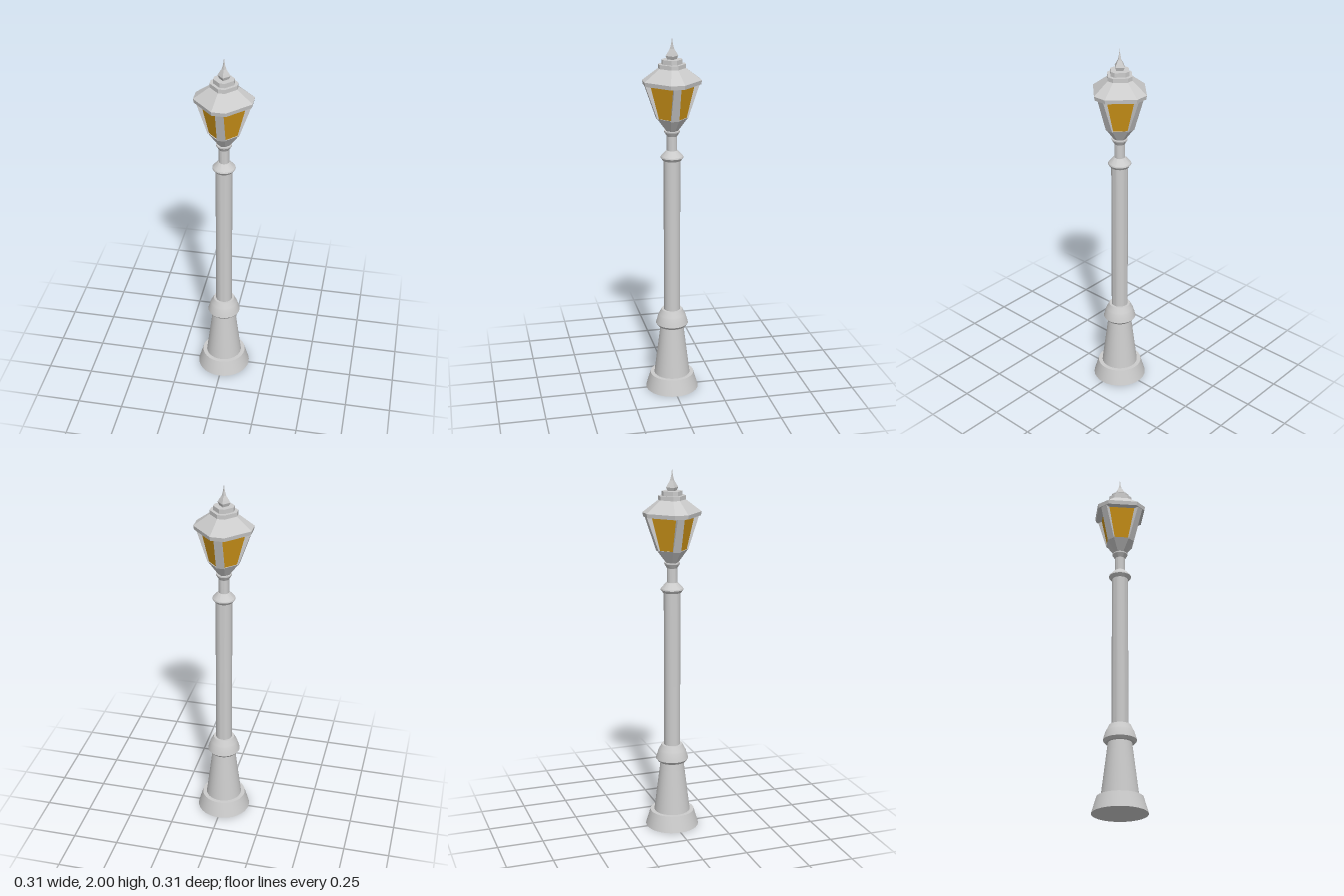
import * as THREE from 'three';
import { toCreasedNormals } from 'three/addons/utils/BufferGeometryUtils.js';

const smooth = new THREE.MeshStandardMaterial({ color: 0xcccccc });
const metal = new THREE.MeshStandardMaterial({ color: 0xcccccc, flatShading: true });
const amber = new THREE.MeshStandardMaterial({ color: 0xcc9318, flatShading: true });

// Octagon with narrow sides (half-width a) at distance b along the x and z axes
const oct = (a, b) => [[b, -a], [b, a], [a, b], [-a, b], [-b, a], [-b, -a], [-a, -b], [a, -b]];
const diamond = (r) => [[r, 0], [0, r], [-r, 0], [0, -r]];
const bar = (w, z0, z1) => [[w, z0], [w, z1], [-w, z1], [-w, z0]];

// Capped solid through horizontal sections [y, points], listed bottom to top
function loft(sections) {
  const rings = sections.map(([y, pts]) => pts.map(([x, z]) => [x, y, z]));
  const n = rings[0].length;
  const out = [];
  for (let k = 0; k < rings.length - 1; k++) {
    for (let i = 0; i < n; i++) {
      const j = (i + 1) % n;
      const lo = rings[k], hi = rings[k + 1];
      out.push(...lo[i], ...hi[i], ...lo[j], ...lo[j], ...hi[i], ...hi[j]);
    }
  }
  const bottom = rings[0], top = rings[rings.length - 1];
  for (let i = 1; i < n - 1; i++) {
    out.push(...bottom[0], ...bottom[i], ...bottom[i + 1]);
    out.push(...top[0], ...top[i + 1], ...top[i]);
  }
  const geo = new THREE.BufferGeometry();
  geo.setAttribute('position', new THREE.Float32BufferAttribute(out, 3));
  geo.computeVertexNormals();
  return geo;
}

// Round turned part from [radius, y] pairs
function turned(profile) {
  const points = profile.map(([r, y]) => new THREE.Vector2(r, y));
  return toCreasedNormals(new THREE.LatheGeometry(points, 32), Math.PI / 7);
}

export function createModel() {
  const model = new THREE.Group();
  model.name = 'streetLamp';
  const add = (parent, name, geometry, material) => {
    const mesh = new THREE.Mesh(geometry, material);
    mesh.name = name;
    parent.add(mesh);
    return mesh;
  };

  // Post
  add(model, 'foot', turned([[0, 0], [0.148, 0], [0.122, 0.088], [0, 0.088]]), smooth);
  add(model, 'pedestal', turned([[0.1, 0.088], [0.064, 0.38]]), smooth);
  add(model, 'pedestalCollar', turned([
    [0.05, 0.38], [0.078, 0.38], [0.09, 0.395], [0.086, 0.41], [0.077, 0.44],
    [0.073, 0.448], [0.058, 0.478], [0.04, 0.478],
  ]), smooth);
  add(model, 'pole', turned([[0.045, 0.47], [0.045, 1.345]]), smooth);
  add(model, 'poleCollar', turned([
    [0.04, 1.342], [0.05, 1.342], [0.062, 1.358], [0.06, 1.365], [0.031, 1.397], [0, 1.397],
  ]), smooth);
  add(model, 'neck', turned([
    [0.028, 1.39], [0.028, 1.475], [0.042, 1.498], [0.042, 1.505], [0, 1.505],
  ]), smooth);

  // Lantern
  const lantern = new THREE.Group();
  lantern.name = 'lantern';
  model.add(lantern);
  add(lantern, 'lanternCup', loft([[1.5, oct(0.01, 0.028)], [1.575, oct(0.022, 0.082)]]), metal);
  add(lantern, 'glass', loft([[1.573, oct(0.022, 0.074)], [1.757, oct(0.019, 0.12)]]), amber);
  for (let i = 0; i < 4; i++) {
    const post = add(lantern, 'lanternPost',
      loft([[1.57, bar(0.022, 0.05, 0.082)], [1.757, bar(0.019, 0.1, 0.147)]]), metal);
    post.rotation.y = i * Math.PI / 2;
  }

  // Roof, steps and spike
  add(lantern, 'roof', loft([
    [1.754, oct(0.036, 0.149)], [1.776, oct(0.037, 0.153)], [1.84, oct(0.018, 0.071)],
  ]), metal);
  add(lantern, 'lowerStep', loft([[1.838, oct(0.018, 0.071)], [1.862, oct(0.018, 0.071)]]), metal);
  add(lantern, 'upperStep', loft([[1.86, oct(0.014, 0.053)], [1.886, oct(0.014, 0.053)]]), metal);
  add(lantern, 'finial', loft([
    [1.884, diamond(0.024)], [1.904, diamond(0.034)], [1.918, diamond(0.026)],
    [1.94, diamond(0.012)], [1.965, diamond(0.005)], [2, diamond(0.0005)],
  ]), metal);
  return model;
}
